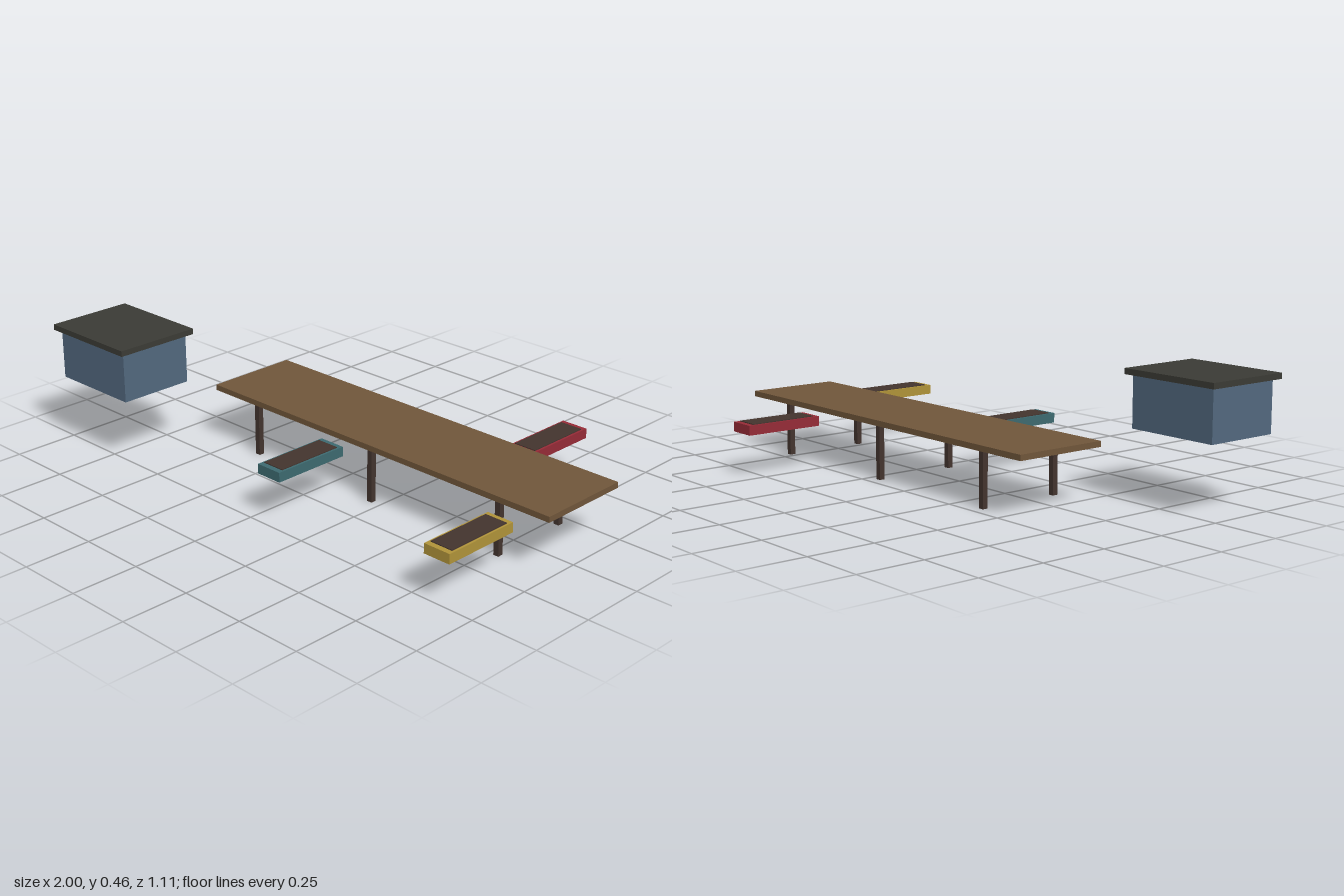
import * as THREE from 'three';

const material = (name, color) => {
  const m = new THREE.MeshStandardMaterial({ color });
  m.name = name;
  return m;
};

export function createModel() {
  const mats = {
    deckWood: material('deck wood', 0x70563a),
    darkWood: material('dark wood', 0x43342e),
    roof: material('charcoal roof', 0x3b3b35),
    wall: material('blue wall', 0x52687e),
    teal: material('teal hull', 0x3d6a70),
    red: material('red hull', 0x962b37),
    yellow: material('yellow hull', 0xb09339),
  };
  const model = new THREE.Group();
  model.name = 'dock';

  // Box given by its centre in plan, its bottom and its size
  function box(name, mat, [x, y, z], [w, h, d], parent = model) {
    const mesh = new THREE.Mesh(new THREE.BoxGeometry(w, h, d), mat);
    mesh.name = name;
    mesh.position.set(x, y + h / 2, z);
    parent.add(mesh);
    return mesh;
  }

  // Pier deck on two rows of posts
  box('deck', mats.deckWood, [0.208, 0.2, -0.043], [1.58, 0.021, 0.36]);
  for (const x of [-0.37, 0.205, 0.78]) {
    for (const z of [0.117, -0.2]) {
      box('post', mats.darkWood, [x, 0, z], [0.021, 0.2, 0.021]);
    }
  }

  // Boathouse
  const hut = new THREE.Group();
  hut.name = 'boathouse';
  model.add(hut);
  box('walls', mats.wall, [-0.8, 0.255, 0.39], [0.36, 0.187, 0.288], hut);
  box('roof', mats.roof, [-0.8, 0.441, 0.39], [0.4, 0.021, 0.33], hut);

  // Moored boats: hull with a slightly raised inner floor
  const boats = [
    ['tealBoat', mats.teal, 0.06, 0.316],
    ['redBoat', mats.red, 0.566, -0.404],
    ['yellowBoat', mats.yellow, 0.853, 0.352],
  ];
  for (const [name, mat, x, z] of boats) {
    const boat = new THREE.Group();
    boat.name = name;
    boat.position.set(x, 0.157, z);
    model.add(boat);
    box('hull', mat, [0, 0, 0], [0.105, 0.036, 0.302], boat);
    box('interior', mats.darkWood, [0, 0.03, 0], [0.088, 0.009, 0.26], boat);
  }
  return model;
}
